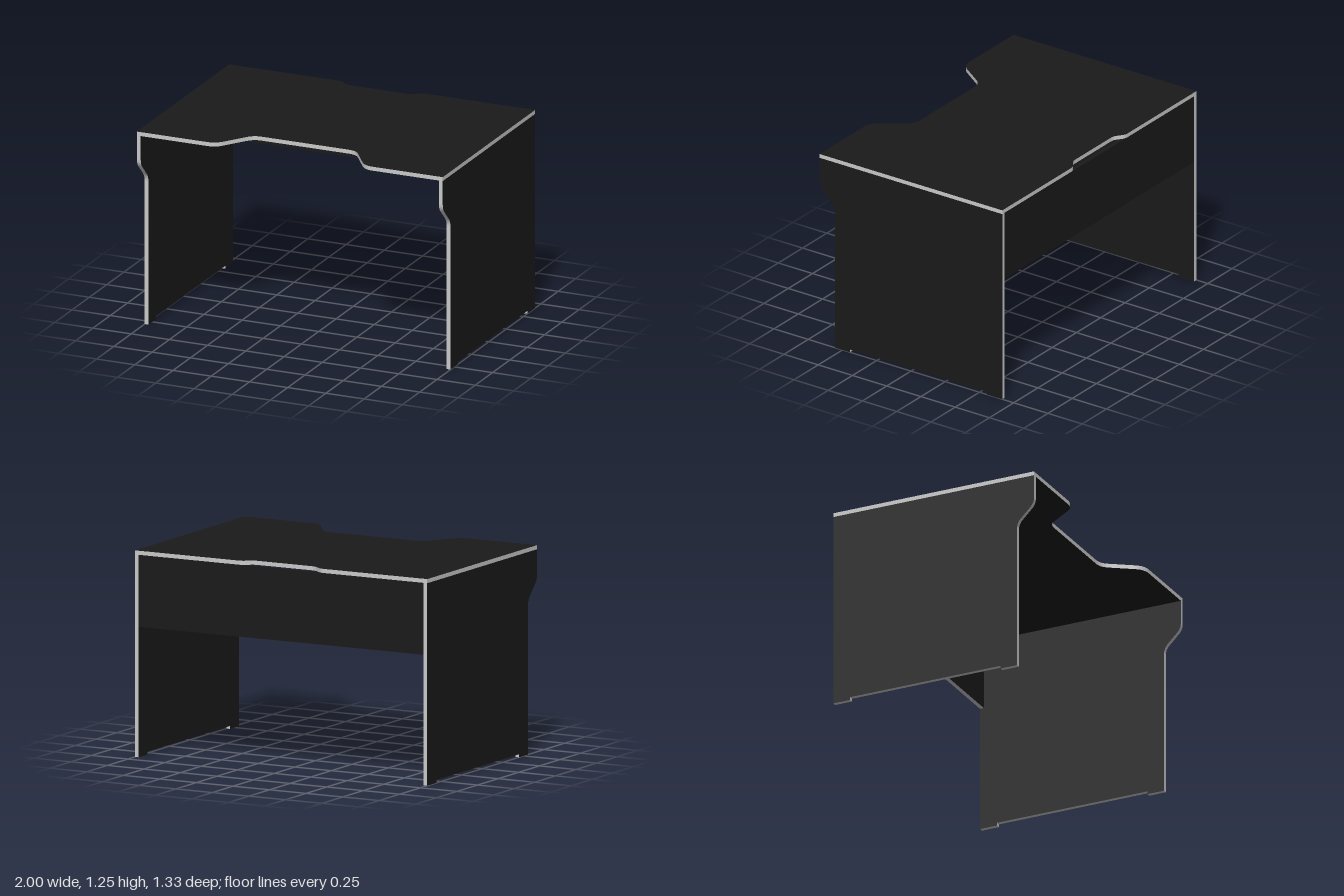
import * as THREE from 'three';

const T = 0.025; // board thickness
const face = new THREE.MeshStandardMaterial({ color: 0x1a1a1a });
const edge = new THREE.MeshStandardMaterial({ color: 0xcccccc });

// Closed outline from [x, y, cut] corners; corners with a cut are rounded off.
function roundedShape(corners) {
  const shape = new THREE.Shape();
  const n = corners.length;
  corners.forEach(([x, y, cut = 0], i) => {
    const p = new THREE.Vector2(x, y);
    const toward = (c) => p.clone().add(new THREE.Vector2(c[0], c[1]).sub(p).setLength(cut));
    const a = toward(corners[(i + n - 1) % n]);
    const b = toward(corners[(i + 1) % n]);
    if (i === 0) shape.moveTo(a.x, a.y);
    else shape.lineTo(a.x, a.y);
    if (cut) shape.quadraticCurveTo(x, y, b.x, b.y);
  });
  shape.closePath();
  return shape;
}

// Board with dark faces and pale edges
function board(corners) {
  return new THREE.ExtrudeGeometry(roundedShape(corners), {
    depth: T, bevelEnabled: false, curveSegments: 8,
  });
}

function addMesh(group, name, geometry, materials) {
  const mesh = new THREE.Mesh(geometry, materials);
  mesh.name = name;
  group.add(mesh);
  return mesh;
}

export function createModel() {
  const desk = new THREE.Group();
  desk.name = 'desk';

  // Desktop: user cut-out at the front, cable notch at the back (x, z)
  const half = [
    [0.27, -0.667, 0.02], [1, -0.667], [1, 0.667],
    [0.487, 0.667, 0.055], [0.335, 0.445, 0.05],
  ];
  const notch = [0.207, -0.62, 0.02];
  const right = [...half, notch];
  right.splice(0, right.length, notch, ...half);
  const left = right.map(([x, z, c]) => [-x, z, c]).reverse();
  const top = board([...right, ...left]).rotateX(Math.PI / 2);
  addMesh(desk, 'desktop', top, [face, edge]).position.y = 1.25;

  // Side panels: wider at the top, with two shallow feet (z, y)
  const side = board([
    [-0.667, 0], [-0.555, 0], [-0.555, 0.018], [0.445, 0.018], [0.445, 0],
    [0.555, 0], [0.555, 0.935, 0.035], [0.667, 1.045, 0.035],
    [0.667, 1.225], [-0.667, 1.225],
  ]).rotateY(-Math.PI / 2);
  addMesh(desk, 'leftSidePanel', side, [face, edge]).position.x = 1;
  addMesh(desk, 'rightSidePanel', side, [face, edge]).position.x = -1 + T;

  // Back panel between the sides
  const back = new THREE.BoxGeometry(2 - 2 * T, 0.435, T);
  addMesh(desk, 'backPanel', back, [edge, edge, face, edge, face, face])
    .position.set(0, 1.0075, -0.667 + T / 2);

  return desk;
}
